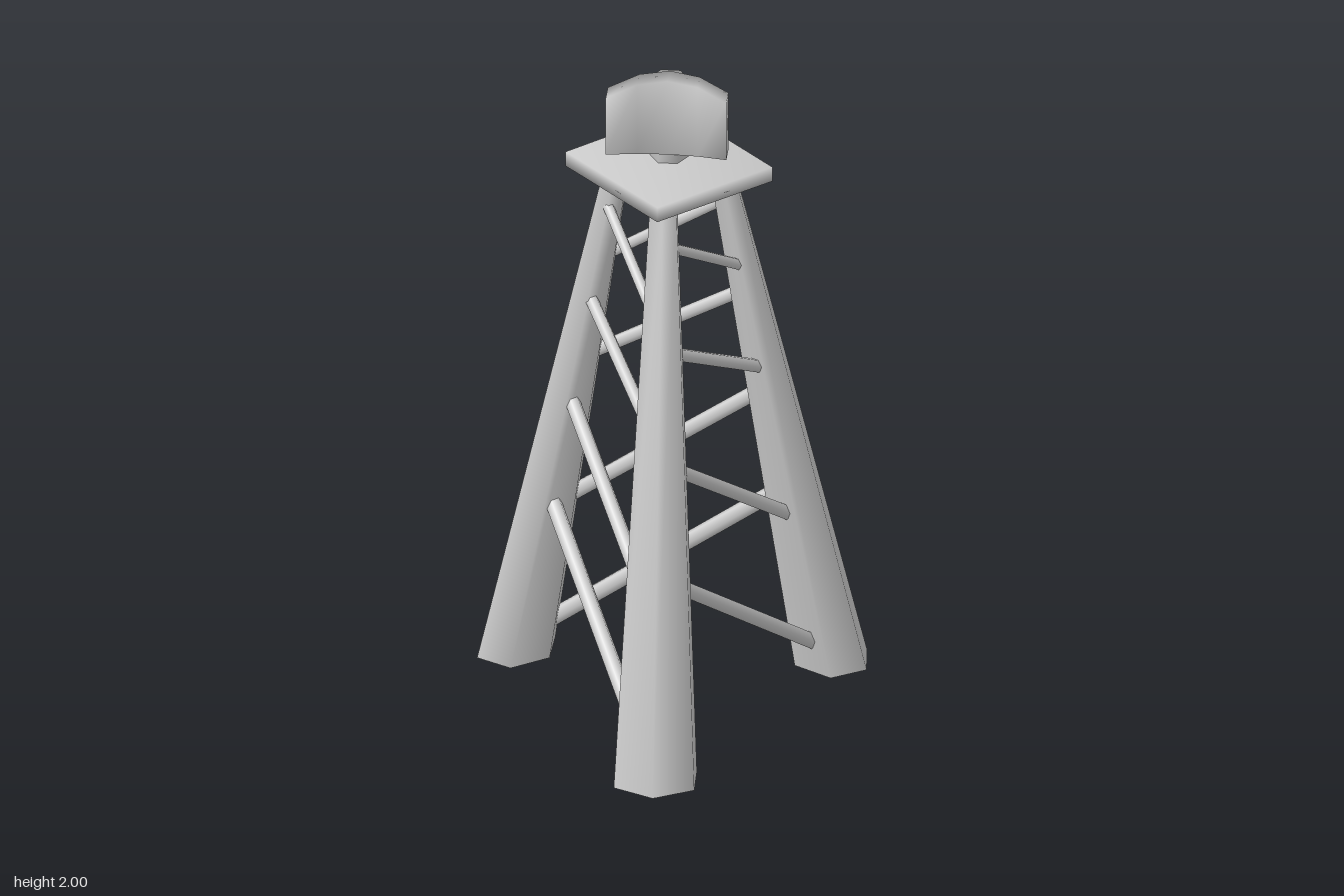
import * as THREE from 'three';
import { mergeVertices } from 'three/addons/utils/BufferGeometryUtils.js';

const mat = new THREE.MeshStandardMaterial({ color: 0xcccccc, side: THREE.DoubleSide });
const LEG_H = 1.7, AXIS_Z = -0.12, TWIST = 0.03;

// Share vertices so that shading runs smoothly over the edges
function smooth(geo) {
  geo.deleteAttribute('uv');
  geo.deleteAttribute('normal');
  const g = mergeVertices(geo);
  g.computeVertexNormals();
  return g;
}

function add(parent, name, geo) {
  const mesh = new THREE.Mesh(geo, mat);
  mesh.name = name;
  parent.add(mesh);
  return mesh;
}

const legAngle = (k) => TWIST + (k * Math.PI * 2) / 3;
const legDistance = (y) => THREE.MathUtils.lerp(0.52, 0.165, y / LEG_H);
const legRadius = (y) => THREE.MathUtils.lerp(0.12, 0.04, y / LEG_H);
function legPoint(k, y) {
  const a = legAngle(k), r = legDistance(y);
  return new THREE.Vector3(Math.sin(a) * r, y, Math.cos(a) * r);
}

// Tapered six-sided leg, sheared inwards so both ends stay level
function legGeometry() {
  const geo = new THREE.CylinderGeometry(0.323, 1, LEG_H, 6, 1, true);
  geo.translate(0, LEG_H / 2, 0).scale(0.133, 1, 0.115);
  const p = geo.attributes.position;
  for (let i = 0; i < p.count; i++) p.setZ(i, p.getZ(i) + legDistance(p.getY(i)));
  return smooth(geo);
}

// Round bar between two points
function bar(parent, name, a, b, radius) {
  const d = b.clone().sub(a);
  const mesh = add(parent, name, new THREE.CylinderGeometry(radius, radius, d.length(), 6));
  mesh.position.copy(a).add(b).multiplyScalar(0.5);
  mesh.quaternion.setFromUnitVectors(new THREE.Vector3(0, 1, 0), d.normalize());
}

export function createModel() {
  const model = new THREE.Group();
  model.name = 'tower';

  // Tripod and its diagonal braces, around the tower axis
  const frame = new THREE.Group();
  frame.name = 'tripodFrame';
  frame.position.z = AXIS_Z;
  model.add(frame);
  const legGeo = legGeometry();
  const bays = [[0.55, 0.1, 0.025], [0.89, 0.53, 0.023], [1.23, 1.02, 0.02], [1.54, 1.36, 0.017]];
  for (let k = 0; k < 3; k++) {
    add(frame, 'leg', legGeo).rotation.y = legAngle(k);
    const mid = legAngle(k) + Math.PI / 3;
    const out = new THREE.Vector3(Math.sin(mid), 0, Math.cos(mid)).multiplyScalar(0.018);
    for (const [high, low, radius] of bays) {
      // Ends stop at the leg surfaces
      const a = legPoint(k, high).add(out), b = legPoint(k + 1, low).add(out);
      const flat = b.clone().sub(a).setY(0).normalize();
      a.addScaledVector(flat, legRadius(high) * 0.6);
      b.addScaledVector(flat, -legRadius(low) * 0.75);
      bar(frame, 'brace', a, b, radius);
    }
  }

  // Diamond platform (shape drawn in x and -z, then laid flat)
  const diamond = new THREE.Shape([[0.007, 0.419], [-0.294, 0.134], [0, -0.182], [0.303, 0.098]]
    .map(([x, y]) => new THREE.Vector2(x, y)));
  const platform = new THREE.ExtrudeGeometry(diamond, { depth: 0.046, bevelEnabled: false });
  platform.rotateX(-Math.PI / 2).translate(0, 1.687, 0);
  add(model, 'platform', smooth(platform));

  // Six-sided post behind the panel
  const post = new THREE.CylinderGeometry(0.055, 0.055, 0.265, 6);
  post.rotateY(Math.PI / 6).translate(0.003, 1.852, -0.14);
  add(model, 'post', smooth(post));

  // Thick panel bowed backwards, taller in the middle
  const panel = new THREE.BoxGeometry(0.346, 1, 0.065, 4, 1, 1);
  const p = panel.attributes.position;
  for (let i = 0; i < p.count; i++) {
    const bow = 1 - (p.getX(i) / 0.173) ** 2;
    const y = p.getY(i) > 0 ? 1.965 + 0.035 * bow : 1.782 - 0.018 * bow;
    p.setXYZ(i, p.getX(i) + 0.004, y, p.getZ(i) - 0.068 - 0.052 * bow);
  }
  add(model, 'curvedPanel', smooth(panel));
  return model;
}
